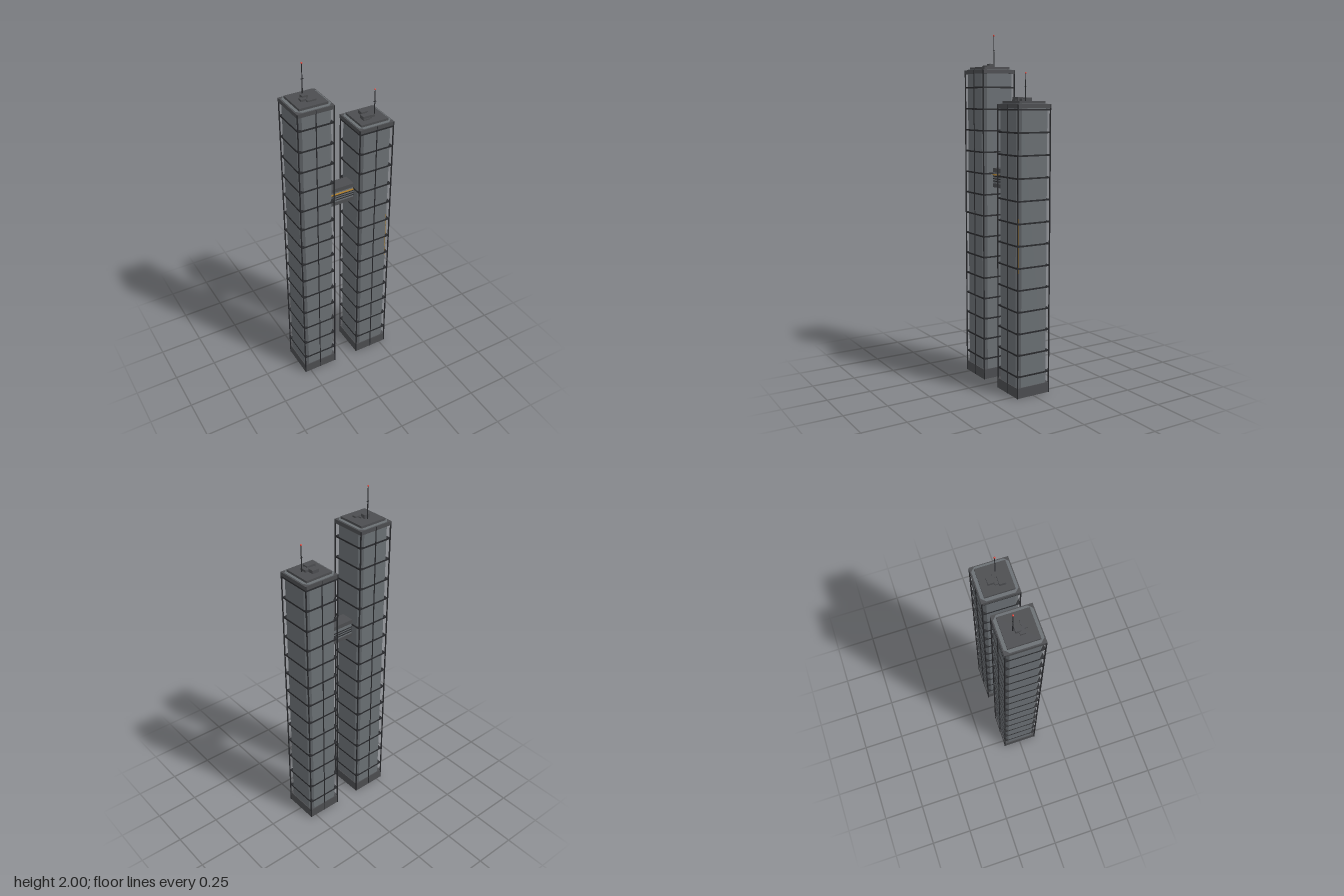
import * as THREE from 'three';

const mat = (color) => new THREE.MeshStandardMaterial({ color, flatShading: true });
const glass = mat(0x6a6f73);
const concrete = mat(0x4c4d50);
const steel = mat(0x2a2b2e);
const amber = mat(0xb9862f);
const teal = mat(0x3f7f86);
const red = mat(0xe0453a);

function add(parent, name, geometry, material, x, y, z) {
  const mesh = new THREE.Mesh(geometry, material);
  mesh.name = name;
  mesh.position.set(x, y, z);
  parent.add(mesh);
  return mesh;
}

// Box given by its min and max on each axis
function span(parent, name, material, [x0, x1], [y0, y1], [z0, z1]) {
  return add(parent, name, new THREE.BoxGeometry(x1 - x0, y1 - y0, z1 - z0), material,
    (x0 + x1) / 2, (y0 + y1) / 2, (z0 + z1) / 2);
}

// Square prism with cut corners, standing on y = 0
function chamferedPrism(half, cut, height) {
  const c = half - cut;
  const pts = [[half, -c], [half, c], [c, half], [-c, half], [-half, c], [-half, -c], [-c, -half], [c, -half]];
  const shape = new THREE.Shape(pts.map(([x, y]) => new THREE.Vector2(x, y)));
  return new THREE.ExtrudeGeometry(shape, { depth: height, bevelEnabled: false }).rotateX(-Math.PI / 2);
}

function tower({ name, x, roof, boxes, mast, strip }) {
  const g = new THREE.Group();
  g.name = name;
  g.position.x = x;
  const square = (half, h) => new THREE.BoxGeometry(half * 2, h, half * 2);

  // Base, shaft and roof edge
  add(g, 'base', square(0.105, 0.058), concrete, 0, 0.029, 0);
  add(g, 'shaft', chamferedPrism(0.1, 0.022, roof - 0.05), glass, 0, 0.05, 0);
  add(g, 'cornice', square(0.106, 0.022), concrete, 0, roof - 0.014, 0);
  add(g, 'roofDeck', square(0.083, 0.013), concrete, 0, roof + 0.006, 0);

  // Floor bands
  for (let y = 0.1214; y < roof - 0.025; y += 0.1214) {
    add(g, 'floorBand', square(0.1025, 0.009), steel, 0, y, 0);
  }

  // Corner columns and one mullion on the front and back
  const columnHeight = roof - 0.005;
  const column = new THREE.CylinderGeometry(0.004, 0.004, columnHeight, 8);
  const mullion = new THREE.CylinderGeometry(0.003, 0.003, columnHeight, 8);
  for (const sz of [-1, 1]) {
    for (const sx of [-1, 1]) {
      add(g, 'cornerColumn', column, steel, sx * 0.103, columnHeight / 2, sz * 0.103);
    }
    add(g, 'mullion', mullion, steel, 0, columnHeight / 2, sz * 0.104);
  }

  // Rooftop plant: x range, z range, height
  for (const [xs, zs, h] of boxes) {
    span(g, 'roofPlant', concrete, xs.map((v) => v - x), [roof + 0.01, roof + h], zs);
  }

  // Mast with crossbar and beacon
  const [mx, mz, top] = mast;
  const h = top - roof;
  add(g, 'mast', new THREE.CylinderGeometry(0.002, 0.0035, h, 8), steel, mx - x, roof + h / 2 - 0.004, mz);
  add(g, 'mastCrossbar', new THREE.BoxGeometry(0.016, 0.003, 0.003), steel, mx - x, roof + h * 0.55, mz);
  add(g, 'beacon', new THREE.SphereGeometry(0.005, 12, 8), red, mx - x, top - 0.005, mz);

  // Thin light strip on a cut corner
  const [sx, sz, y0, y1, material] = strip;
  const light = add(g, 'lightStrip', new THREE.BoxGeometry(0.004, y1 - y0, 0.004), material,
    sx * 0.089, (y0 + y1) / 2, sz * 0.089);
  light.rotation.y = Math.PI / 4;
  return g;
}

function skyBridge() {
  const g = new THREE.Group();
  g.name = 'skyBridge';
  const xs = [-0.085, 0.085];
  span(g, 'bridgeCore', glass, xs, [1.145, 1.235], [-0.036, 0.036]);
  span(g, 'bridgeRoof', concrete, xs, [1.222, 1.245], [-0.04, 0.039]);
  span(g, 'bridgeFloor', concrete, xs, [1.135, 1.157], [-0.04, 0.039]);
  // Rails along both sides
  for (const y of [1.17, 1.184, 1.198]) {
    span(g, 'bridgeRail', steel, xs, [y - 0.0025, y + 0.0025], [-0.039, 0.038]);
  }
  span(g, 'bridgeLight', amber, xs, [1.204, 1.211], [0.034, 0.041]);
  return g;
}

export function createModel() {
  const model = new THREE.Group();
  model.name = 'twinTowers';

  model.add(tower({
    name: 'tallTower', x: -0.181, roof: 1.802,
    boxes: [
      [[-0.205, -0.172], [-0.023, 0.005], 0.033],
      [[-0.22, -0.185], [-0.005, 0.023], 0.024],
      [[-0.194, -0.142], [0.014, 0.041], 0.021],
      [[-0.187, -0.162], [-0.005, 0.027], 0.018],
    ],
    mast: [-0.185, -0.03, 2],
    strip: [1, -1, 0.7, 1.4, teal],
  }));

  model.add(tower({
    name: 'shortTower', x: 0.181, roof: 1.611,
    boxes: [
      [[0.153, 0.194], [-0.045, -0.009], 0.031],
      [[0.133, 0.188], [0.009, 0.041], 0.033],
      [[0.144, 0.185], [-0.011, 0.011], 0.022],
      [[0.18, 0.212], [-0.01, 0.032], 0.025],
      [[0.133, 0.172], [0.03, 0.047], 0.02],
    ],
    mast: [0.219, 0.014, 1.777],
    strip: [1, 1, 0.7, 1.0, amber],
  }));

  model.add(skyBridge());
  return model;
}
